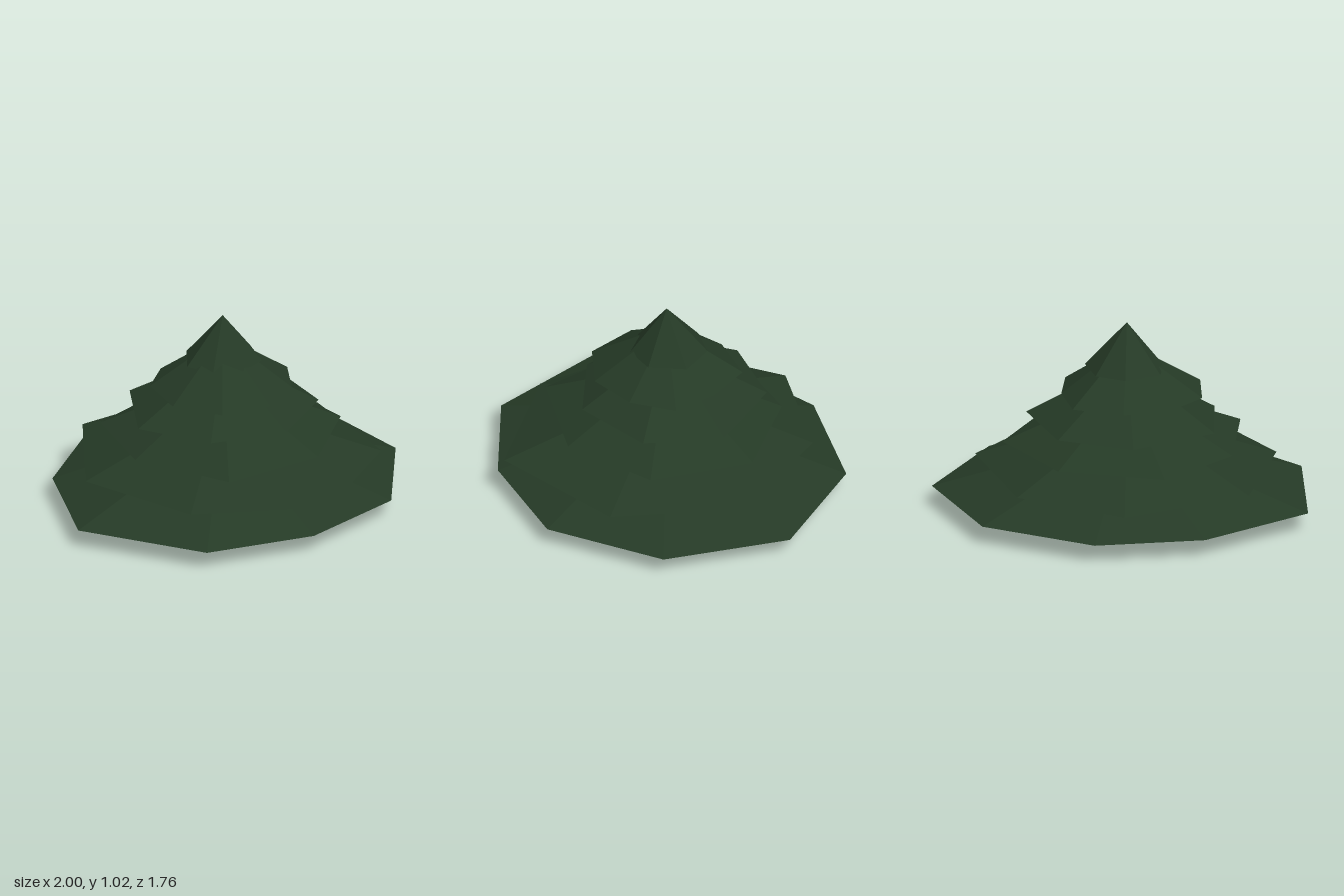
import * as THREE from 'three';

const CENTRE_X = 0.02;

// Each tier of branches: base height, cone height and irregular rim as [x, z] pairs
const TIERS = [
  { y: 0.10, h: 0.31, rim: [[-0.10, -0.885], [0.55, -0.795], [1, -0.285], [0.91, 0.395], [0.415, 0.845], [-0.19, 0.87], [-0.735, 0.62], [-1, -0.06], [-0.62, -0.62]] },
  { y: 0.235, h: 0.30, rim: [[-0.23, -0.78], [0.4, -0.67], [0.825, -0.095], [0.62, 0.575], [-0.08, 0.88], [-0.66, 0.43], [-0.74, -0.26]] },
  { y: 0.37, h: 0.30, rim: [[0.205, -0.575], [0.63, -0.23], [0.57, 0.325], [0.115, 0.6], [-0.44, 0.495], [-0.58, -0.055], [-0.365, -0.52]] },
  { y: 0.505, h: 0.29, rim: [[-0.18, -0.485], [0.24, -0.475], [0.54, -0.105], [0.425, 0.305], [0.01, 0.475], [-0.365, 0.29], [-0.5, -0.11]] },
  { y: 0.64, h: 0.27, rim: [[-0.08, -0.355], [0.2, -0.355], [0.335, -0.14], [0.395, 0.105], [0.23, 0.3], [-0.025, 0.39], [-0.285, 0.295], [-0.385, 0.03], [-0.28, -0.24]] },
  { y: 0.775, h: 0.25, rim: [[-0.04, -0.205], [0.13, -0.185], [0.245, -0.02], [0.15, 0.16], [-0.02, 0.19], [-0.15, 0.095], [-0.185, -0.06]] },
];

// Closed faceted cone over an irregular rim
function tierGeometry({ y, h, rim }) {
  const positions = [];
  rim.forEach(([x, z], i) => {
    const [nx, nz] = rim[(i + 1) % rim.length];
    positions.push(CENTRE_X, y + h, 0, nx, y, nz, x, y, z); // slope
    positions.push(CENTRE_X, y, 0, x, y, z, nx, y, nz); // underside
  });
  const geometry = new THREE.BufferGeometry();
  geometry.setAttribute('position', new THREE.Float32BufferAttribute(positions, 3));
  geometry.computeVertexNormals();
  return geometry;
}

export function createModel() {
  const tree = new THREE.Group();
  tree.name = 'pineTree';

  const green = new THREE.MeshStandardMaterial({ color: 0x253a26, flatShading: true });
  green.name = 'dark pine green';

  // Branch tiers, from the ground up
  TIERS.forEach((tier, i) => {
    const mesh = new THREE.Mesh(tierGeometry(tier), green);
    mesh.name = `branchTier${i + 1}`;
    tree.add(mesh);
  });

  // Short tapered trunk
  const trunk = new THREE.Mesh(new THREE.CylinderGeometry(0.037, 0.046, 0.13, 7), green);
  trunk.name = 'trunk';
  trunk.position.set(CENTRE_X, 0.065, 0);
  tree.add(trunk);

  return tree;
}
